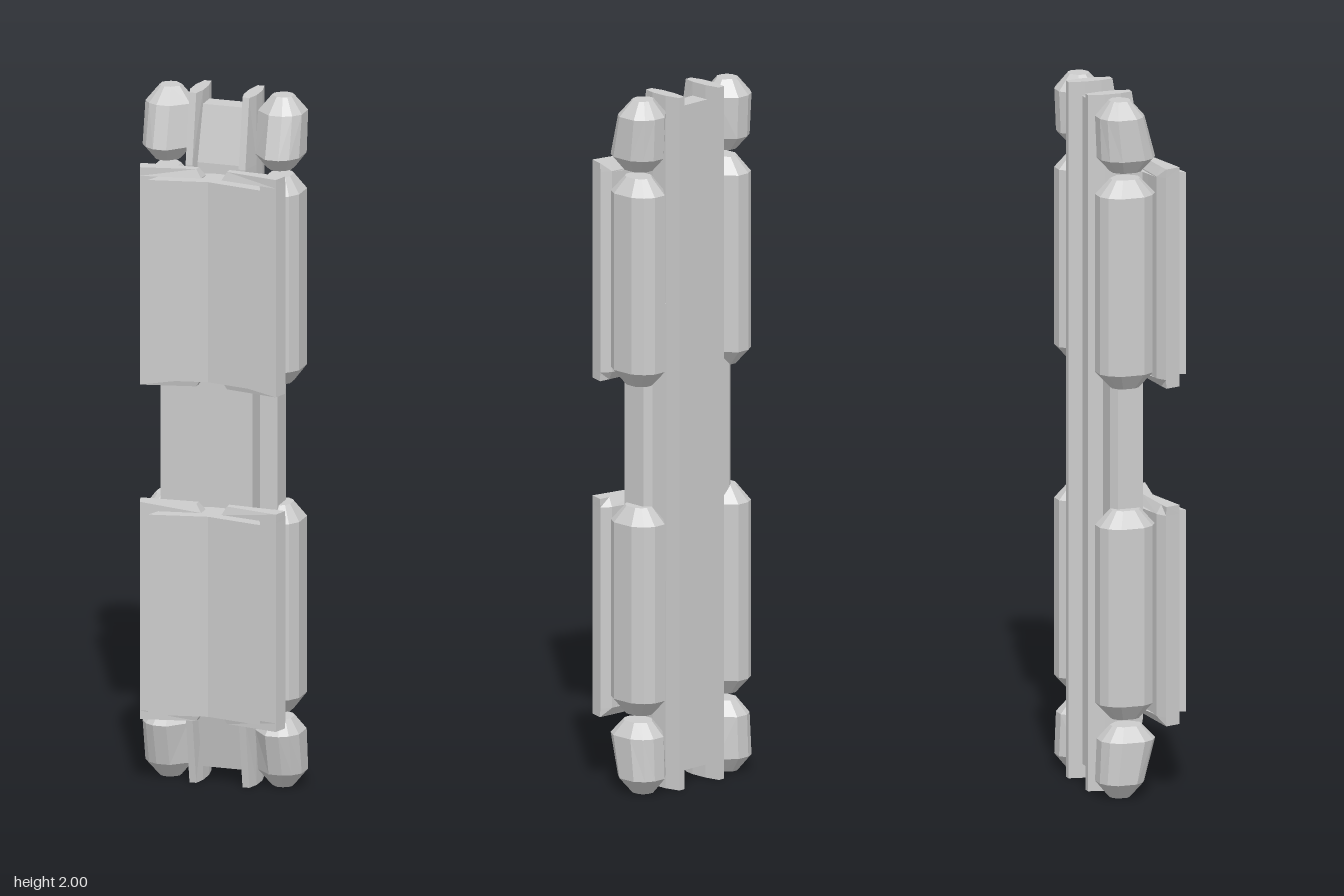
import * as THREE from 'three';

const material = new THREE.MeshStandardMaterial({ color: 0xcccccc, flatShading: true, side: THREE.DoubleSide });

// Skin a stack of convex [x, z] rings given as [y, points], bottom to top, with flat caps.
// sx mirrors left/right; sy mirrors top/bottom about y = 1.
function loft(name, rings, sx = 1, sy = 1) {
  const pos = [];
  const vert = (r, i) => {
    const [y, pts] = rings[r];
    const [x, z] = pts[i % pts.length];
    return [x * sx, 1 + (y - 1) * sy, z];
  };
  // point order decides which way round the faces go
  const base = rings[0][1];
  let area = 0;
  base.forEach(([x, z], i) => {
    const [x2, z2] = base[(i + 1) % base.length];
    area += x * z2 - x2 * z;
  });
  const flip = area * sx * sy > 0;
  const tri = (a, b, c) => (flip ? pos.push(...a, ...c, ...b) : pos.push(...a, ...b, ...c));
  const n = base.length, top = rings.length - 1;
  for (let r = 0; r < top; r++) {
    for (let i = 0; i < n; i++) {
      tri(vert(r, i), vert(r, i + 1), vert(r + 1, i + 1));
      tri(vert(r, i), vert(r + 1, i + 1), vert(r + 1, i));
    }
  }
  for (let i = 1; i < n - 1; i++) {
    tri(vert(0, 0), vert(0, i + 1), vert(0, i));
    tri(vert(top, 0), vert(top, i), vert(top, i + 1));
  }
  const geo = new THREE.BufferGeometry();
  geo.setAttribute('position', new THREE.Float32BufferAttribute(pos, 3));
  geo.computeVertexNormals();
  const mesh = new THREE.Mesh(geo, material);
  mesh.name = name;
  return mesh;
}

// Ten-sided pod outline, in units of half width and half depth
const POD = [[0.3, 1], [0.7, 0.8], [1, 0.42], [1, -0.42], [0.7, -0.8], [0.3, -1],
  [-0.3, -1], [-1, -0.36], [-1, 0.36], [-0.3, 1]];
const podRing = (y, s, front, back) => [y, POD.map(([u, v]) =>
  [0.165 + u * s * 0.065, (front + back) / 2 + v * s * (front - back) / 2])];

// Fin section: thick in the middle, thin at both edges
const finRing = (y, front) => [y, [[0.068, -0.13], [0.088, -0.13], [0.098, -0.085], [0.098, -0.035],
  [0.088, front], [0.068, front], [0.06, -0.035], [0.06, -0.085]]];

const box = (x, z0, z1) => [[-x, z0], [x, z0], [x, z1], [-x, z1]];

export function createModel() {
  const model = new THREE.Group();

  // Central spine with sloped ends, and the wider block showing in the middle gap
  model.add(loft('spine', [
    [0.04, box(0.07, -0.092, -0.035)], [0.2, box(0.07, -0.092, 0)],
    [1.8, box(0.07, -0.092, 0)], [1.96, box(0.07, -0.092, -0.035)],
  ]));
  model.add(loft('middleBlock', [[0.7, box(0.098, -0.04, 0.003)], [1.3, box(0.098, -0.04, 0.003)]]));

  for (const sx of [1, -1]) {
    // Fin running the full height
    model.add(loft('fin', [finRing(0, 0), finRing(0.2, 0.034), finRing(0.75, 0.034), finRing(0.8, 0),
      finRing(1.2, 0), finRing(1.25, 0.034), finRing(1.8, 0.034), finRing(2, 0)], sx));

    // Rod joining the upper and lower pods
    const rod = [[0.12, 0.002], [0.172, 0.002], [0.172, -0.072], [0.152, -0.088], [0.095, -0.088], [0.095, -0.022]];
    model.add(loft('connectingRod', [[0.6, rod], [1.4, rod]], sx));

    for (const sy of [1, -1]) {
      // Long side pod and slanted end pod
      model.add(loft('longPod', [podRing(1.175, 0.5, 0.033, -0.13), podRing(1.22, 1, 0.033, -0.13),
        podRing(1.73, 1, 0.033, -0.13), podRing(1.775, 0.5, 0.033, -0.13)], sx, sy));
      model.add(loft('endPod', [podRing(1.795, 0.55, 0.033, -0.125), podRing(1.835, 1, 0.034, -0.125),
        podRing(1.955, 1, 0.002, -0.13), podRing(2, 0.45, 0, -0.13)], sx, sy));

      // Shield: backing, raised wing plate with bevelled rear, front panel
      const backing = [[0, 0], [0.03, 0.027], [0.185, 0.04], [0.19, 0.085], [0, 0.07]];
      model.add(loft('shieldBacking', [[1.195, backing], [1.772, backing]], sx, sy));

      const wingInner = [[0.03, 0.03], [0.185, 0.038], [0.213, 0.056], [0.2, 0.1], [0.03, 0.07]];
      const wingOuter = [[0.045, 0.046], [0.18, 0.054], [0.213, 0.057], [0.2, 0.1], [0.045, 0.067]];
      model.add(loft('shieldWing', [[1.17, wingOuter], [1.195, wingInner],
        [1.775, wingInner], [1.8, wingOuter]], sx, sy));

      const panel = [[0, 0.06], [0.147, 0.085], [0.165, 0.132], [0, 0.099]];
      model.add(loft('shieldPanel', [[1.195, panel], [1.775, panel]], sx, sy));
    }
  }
  return model;
}
